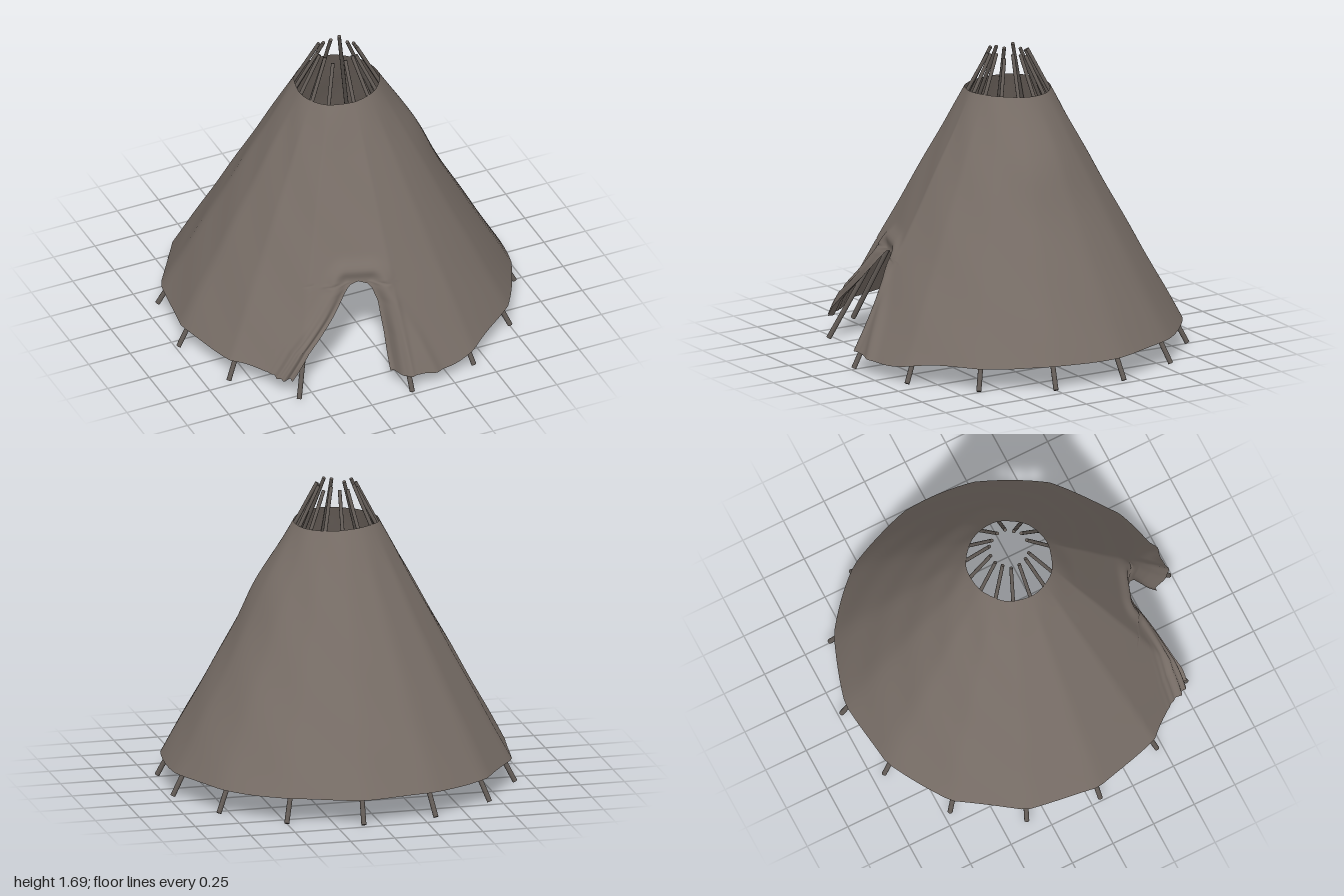
import * as THREE from 'three';
import { mergeVertices } from 'three/addons/utils/BufferGeometryUtils.js';

const RAD = Math.PI / 180;
const STEP = 24.85;              // degrees between poles
const POLES = 14;                // the gap after the last pole is the doorway
const APEX = 0.585;              // height of the doorway
const SEAM = -15;                // azimuth above the doorway, 0 = front, + towards +x

const gauss = (v, w) => Math.exp(-(v / w) * (v / w));
const smooth = (v) => THREE.MathUtils.smoothstep(v, 0, 1);

// Piecewise linear lookup in [position, value] pairs
function lookup(table, p) {
  if (p <= table[0][0]) return table[0][1];
  for (let i = 1; i < table.length; i++) {
    const [p0, v0] = table[i - 1], [p1, v1] = table[i];
    if (p <= p1) return v0 + (v1 - v0) * (p - p0) / (p1 - p0);
  }
  return table[table.length - 1][1];
}

// Azimuth of the doorway's two edges by height
const leftEdge = [[0.12, -39], [0.26, -34.4], [0.42, -26.5], [0.53, -21.5], [0.57, -19], [APEX, SEAM]];
const rightEdge = [[0.08, -5.2], [0.3, -5.7], [0.48, -7], [0.55, -9], [0.575, -11], [APEX, SEAM]];

// Cover radius: cloth stretched between the poles, tighter on the -x side
function coverRadius(deg, y) {
  const R = 0.24 + (1.46 - y) * 0.549;
  const a = ((deg % 360) + 360) % 360;
  const i = Math.min(POLES - 1, Math.floor(a / STEP));
  const from = i * STEP, to = i === POLES - 1 ? 360 : from + STEP;
  const half = (to - from) / 2;
  const chord = Math.cos(half * RAD) / Math.cos((a - from - half) * RAD);
  const tight = i === POLES - 1 ? 0.95 : 0.7 - 0.3 * Math.sin(a * RAD);
  let r = R * (1 + (chord - 1) * tight * smooth((1.5 - y) / 0.3));
  // Bulge and soft wrinkles
  r += 0.025 * gauss(a - 85, 30) * gauss(y - 1.13, 0.2);
  r += 0.003 * Math.sin(a * RAD * 7 + y * 9) * Math.sin(y * 6 + a * RAD * 2);
  return r;
}

// Folds of cloth around the doorway
function doorFolds(deg, y, fromRight, r) {
  const yy = Math.min(y, 0.55);
  const gap = fromRight ? deg - lookup(rightEdge, yy) : lookup(leftEdge, yy) + 360 - deg;
  const d = Math.hypot(Math.max(0, gap) * RAD * r, Math.max(0, y - APEX));
  const low = smooth((0.6 - y) / 0.45);
  let out = 0.022 * gauss(d - 0.07, 0.035) - 0.012 * gauss(d, 0.03);
  if (fromRight) {
    out += 0.02 * low * gauss(d - 0.09 - 0.14 * (0.5 - y) / 0.4, 0.035);
    out -= 0.09 * low * gauss(d, 0.07);
    out += 0.012 * low * Math.cos(d * 130) * gauss(d, 0.08);
  } else {
    out += low * (0.02 * gauss(d, 0.1) + 0.018 * Math.cos(d * 140) * gauss(d, 0.1));
  }
  return out;
}

function coverGeometry() {
  const cols = 170, rows = 100;
  const pos = [], index = [];
  for (let j = 0; j <= rows; j++) {
    const t = j / rows;
    for (let i = 0; i <= cols; i++) {
      // Columns are denser close to the doorway
      const u = i / cols;
      const around = 360 * (u - 0.7 * Math.sin(2 * Math.PI * u) / (2 * Math.PI));
      const hem = 0.13 - 0.045 * gauss(around - 22, 20) + 0.01 * gauss(around - 180, 70)
        - 0.01 * gauss(around - 360, 15) + 0.003 * Math.sin(around * RAD * 9)
        - 0.02 * gauss(around, 5);
      const loose = Math.max(0, 1 - t / 0.3) ** 2;
      const y = 0.13 + 1.34 * t + (hem - 0.13) * loose + 0.006 * t * t * Math.sin(around * RAD * 2);
      // Part the cloth at the doorway
      const deg = SEAM + around
        + (lookup(rightEdge, y) - SEAM) * (1 - smooth(around / 60))
        + (lookup(leftEdge, y) - SEAM) * (1 - smooth((360 - around) / 60));
      let r = coverRadius(deg, y);
      r += doorFolds(deg, y, u < 0.5, r);
      pos.push(r * Math.sin(deg * RAD), y, r * Math.cos(deg * RAD));
      if (i < cols && j < rows) {
        const a = j * (cols + 1) + i, b = a + cols + 1;
        index.push(a, a + 1, b + 1, a, b + 1, b);
      }
    }
  }
  const g = new THREE.BufferGeometry();
  g.setAttribute('position', new THREE.Float32BufferAttribute(pos, 3));
  g.setIndex(index);
  const welded = mergeVertices(g, 1e-4);
  welded.computeVertexNormals();
  return welded;
}

// Round stick between two points
function stick(name, from, to, rFrom, rTo, material) {
  const dir = to.clone().sub(from);
  const mesh = new THREE.Mesh(new THREE.CylinderGeometry(rTo, rFrom, dir.length(), 10), material);
  mesh.position.copy(from).addScaledVector(dir, 0.5);
  mesh.quaternion.setFromUnitVectors(new THREE.Vector3(0, 1, 0), dir.normalize());
  mesh.name = name;
  return mesh;
}

const polar = (deg, r, y) => new THREE.Vector3(r * Math.sin(deg * RAD), y, r * Math.cos(deg * RAD));

export function createModel() {
  const cloth = new THREE.MeshStandardMaterial({ color: 0x776d66, side: THREE.DoubleSide });
  cloth.name = 'cloth';
  const wood = new THREE.MeshStandardMaterial({ color: 0x625b56 });
  wood.name = 'wood';

  const model = new THREE.Group();
  model.name = 'tent';

  const cover = new THREE.Mesh(coverGeometry(), cloth);
  cover.name = 'cover';
  model.add(cover);

  // Ring of leaning poles
  const poles = new THREE.Group();
  poles.name = 'poles';
  for (let i = 0; i < POLES; i++) {
    const top = 1.67 + 0.015 * Math.sin(i * 2.3);
    poles.add(stick('pole', polar(i * STEP, 0.985, 0.006), polar(i * STEP, 0.108, top), 0.014, 0.01, wood));
  }
  model.add(poles);

  // Hoop tied inside the poles
  const hoop = new THREE.Mesh(new THREE.TorusGeometry(0.64, 0.01, 8, 60), wood);
  hoop.rotation.x = Math.PI / 2;
  hoop.position.y = 0.63;
  hoop.name = 'hoop';
  model.add(hoop);

  // Bar above the doorway
  model.add(stick('doorBar', new THREE.Vector3(0.03, 0.62, 0.65), new THREE.Vector3(-0.45, 0.62, 0.49), 0.011, 0.011, wood));

  return model;
}
